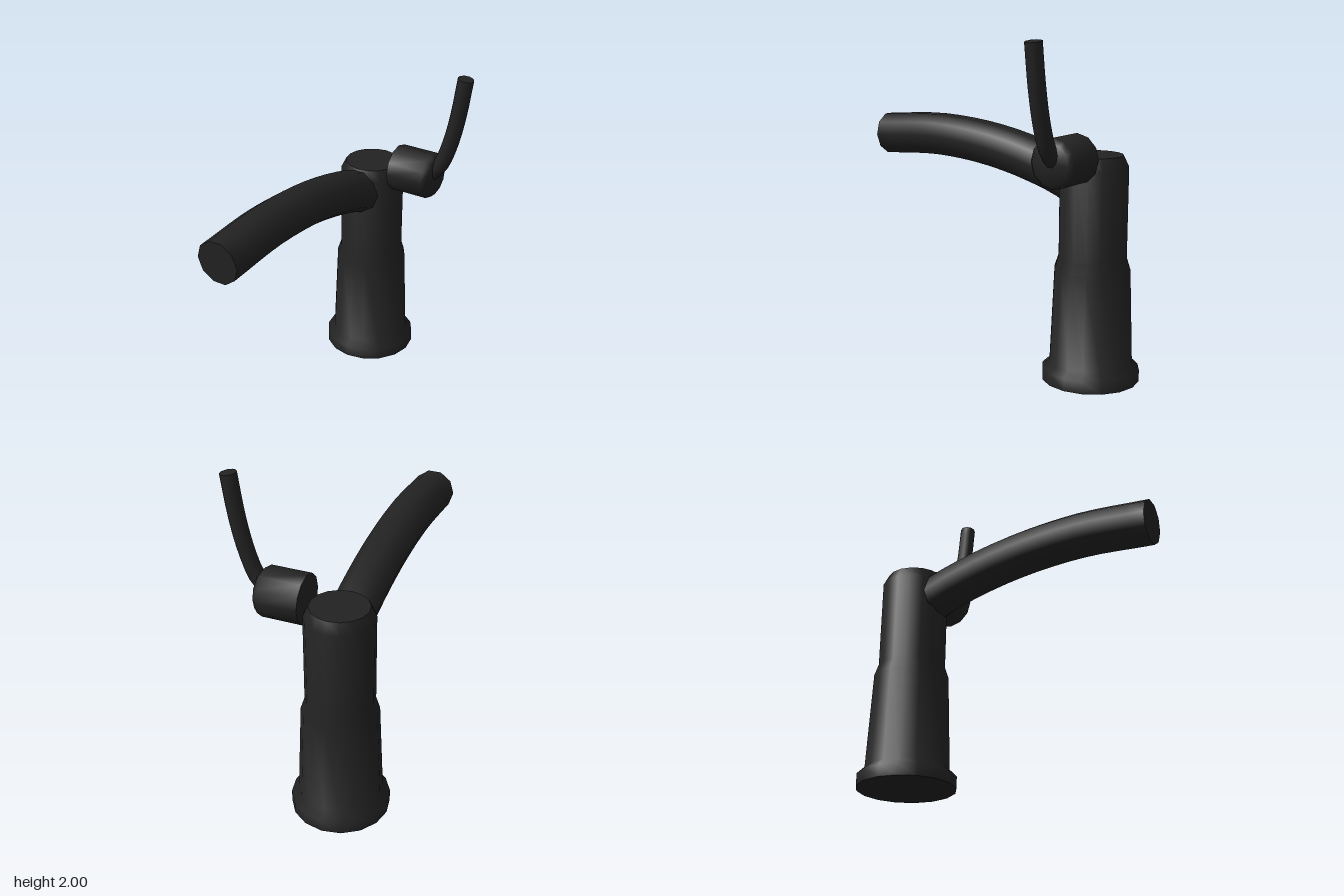
import * as THREE from 'three';
import { toCreasedNormals } from 'three/addons/utils/BufferGeometryUtils.js';

const CREASE = 0.9;
const AXIS_X = -0.193, AXIS_Z = -0.64;

// Closed solid of revolution around y, from [radius, height] pairs listed upwards
function lathe(profile, sides) {
  const points = profile.map(([r, y]) => new THREE.Vector2(r, y));
  return toCreasedNormals(new THREE.LatheGeometry(points, sides), CREASE);
}

// Capped round bar swept along a planar curve; planeNormal is perpendicular to the plane
function sweep(points, planeNormal, radius, sides, steps) {
  const curve = new THREE.CatmullRomCurve3(points);
  const positions = [], index = [];
  for (let i = 0; i <= steps; i++) {
    const centre = curve.getPointAt(i / steps);
    const side = curve.getTangentAt(i / steps).cross(planeNormal);
    for (let j = 0; j < sides; j++) {
      const a = (j / sides) * Math.PI * 2;
      const p = centre.clone()
        .addScaledVector(planeNormal, radius * Math.cos(a))
        .addScaledVector(side, radius * Math.sin(a));
      positions.push(p.x, p.y, p.z);
    }
  }
  for (let i = 0; i < steps; i++) {
    for (let j = 0; j < sides; j++) {
      const k = (j + 1) % sides;
      const a = i * sides + j, b = i * sides + k;
      index.push(a, b, b + sides, a, b + sides, a + sides);
    }
  }
  // End caps
  const last = steps * sides;
  for (let j = 1; j < sides - 1; j++) {
    index.push(0, j + 1, j, last, last + j, last + j + 1);
  }
  const geometry = new THREE.BufferGeometry();
  geometry.setAttribute('position', new THREE.Float32BufferAttribute(positions, 3));
  geometry.setIndex(index);
  return toCreasedNormals(geometry, CREASE);
}

export function createModel() {
  const model = new THREE.Group();
  model.name = 'faucet';
  const black = new THREE.MeshStandardMaterial({ color: 0x222222 });
  black.name = 'matteBlack';

  const add = (name, geometry) => {
    const mesh = new THREE.Mesh(geometry, black);
    mesh.name = name;
    model.add(mesh);
    return mesh;
  };

  // Flared foot, tapered column and bevelled top
  add('body', lathe([
    [0, 0], [0.287, 0], [0.287, 0.07], [0.245, 0.11], [0.222, 0.67],
    [0.199, 0.74], [0.199, 1.27], [0.168, 1.333], [0, 1.333],
  ], 16)).position.set(AXIS_X, 0, AXIS_Z);

  // Arched spout reaching forward
  const spoutPath = [[1.14, -0.56], [1.205, -0.42], [1.315, 0], [1.36, 0.46], [1.335, 0.913]]
    .map(([y, z]) => new THREE.Vector3(AXIS_X, y, z));
  add('spout', sweep(spoutPath, new THREE.Vector3(1, 0, 0), 0.132, 10, 14));

  // Sideways valve hub with a bevelled outer end
  const hub = lathe([[0, -0.005], [0.143, -0.005], [0.143, 0.235], [0.117, 0.262], [0, 0.262]], 12);
  hub.rotateZ(-Math.PI / 2);
  add('handleHub', hub).position.set(0, 1.333, AXIS_Z);

  // Slim lever curving upward
  const leverPath = [[0.21, 1.33], [0.285, 1.41], [0.345, 1.56], [0.39, 1.75], [0.427, 1.995]]
    .map(([x, y]) => new THREE.Vector3(x, y, AXIS_Z));
  add('handleLever', sweep(leverPath, new THREE.Vector3(0, 0, 1), 0.048, 10, 12));

  return model;
}
